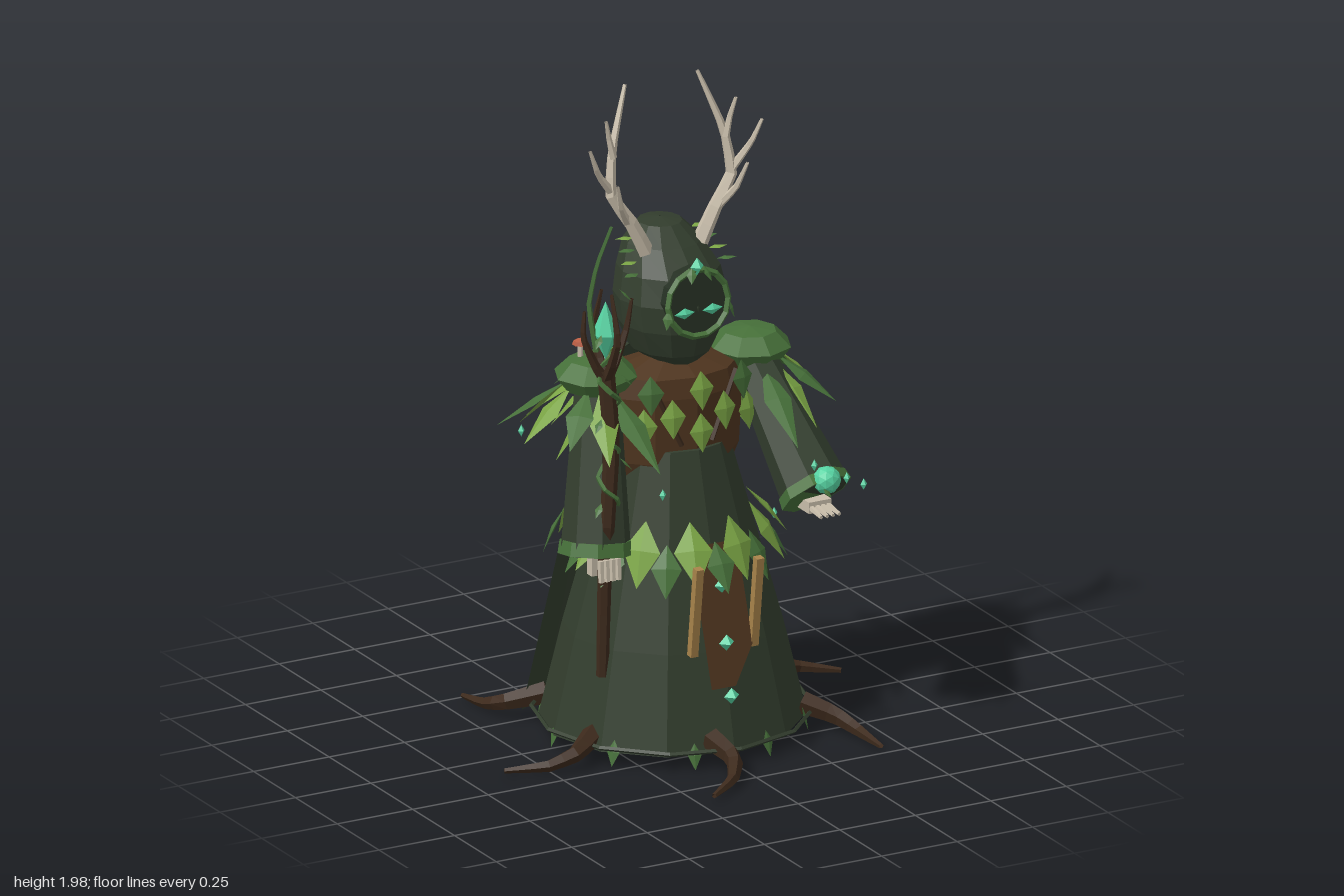
import * as THREE from 'three';

const mat = (name, color) => {
  const m = new THREE.MeshStandardMaterial({ color, flatShading: true, side: THREE.DoubleSide });
  m.name = name;
  return m;
};
const V = (p) => new THREE.Vector3(...p);

export function createModel() {
  const root = new THREE.Group();
  root.name = 'forestDruid';
  const cloth = mat('darkGreenCloth', 0x323d2d), leather = mat('brownLeather', 0x4f351f);
  const wood = mat('darkWood', 0x3d2a1c), moss = mat('moss', 0x47713a);
  const leafLight = mat('brightLeaf', 0x7ba545), bone = mat('bone', 0xc8bdaa);
  const emerald = mat('emerald', 0x56d3a2), red = mat('mushroomRed', 0xb95c42);
  const tan = mat('tanStrap', 0xa8834a), shadow = mat('hoodDark', 0x263023);

  const add = (name, geo, m, pos = [0, 0, 0], parent = root) => {
    const mesh = new THREE.Mesh(geo, m);
    mesh.name = name;
    mesh.position.set(...pos);
    parent.add(mesh);
    return mesh;
  };
  const lathe = (pts, seg, start = 0, len = Math.PI * 2) =>
    new THREE.LatheGeometry(pts.map((p) => new THREE.Vector2(...p)), seg, start, len);

  // Tapered, slightly angular tube through a few points
  const branch = (name, pts, r0, r1, m, sides = 5, steps = pts.length * 2) => {
    const curve = new THREE.CatmullRomCurve3(pts.map(V), false, 'catmullrom', 0.15);
    const geo = new THREE.TubeGeometry(curve, steps, 1, sides);
    const p = geo.attributes.position, v = new THREE.Vector3();
    for (let i = 0; i < p.count; i++) {
      const t = Math.floor(i / (sides + 1)) / steps, c = curve.getPointAt(t);
      v.fromBufferAttribute(p, i).sub(c).multiplyScalar(r0 + (r1 - r0) * t).add(c);
      p.setXYZ(i, v.x, v.y, v.z);
    }
    return add(name, geo, m);
  };
  // Straight cone section from a to b
  const limb = (name, a, b, r0, r1, m, sides = 8) => {
    const A = V(a), B = V(b), d = B.clone().sub(A);
    const mesh = add(name, new THREE.CylinderGeometry(r1, r0, d.length(), sides), m);
    mesh.position.copy(A).addScaledVector(d, 0.5);
    mesh.quaternion.setFromUnitVectors(new THREE.Vector3(0, 1, 0), d.normalize());
    return mesh;
  };
  // Folded diamond leaf hanging from its base, lifted outwards by pitch
  const leafGeo = new THREE.BufferGeometry();
  leafGeo.setAttribute('position', new THREE.Float32BufferAttribute(
    [0, 0, 0, -0.5, -0.45, 0, 0, -0.45, 0.12, 0.5, -0.45, 0, 0, -1, 0], 3));
  leafGeo.setIndex([0, 1, 2, 0, 2, 3, 1, 4, 2, 2, 4, 3]);
  leafGeo.computeVertexNormals();
  const leaf = (name, pos, yaw, pitch, len, wid, m) => {
    const l = add(name, leafGeo, m, pos);
    l.rotation.set(-pitch, yaw, 0, 'YXZ');
    l.scale.set(wid, len, wid);
  };
  const gem = (name, pos, r, h = r) => add(name, new THREE.OctahedronGeometry(1), emerald, pos).scale.set(r, h, r);

  // Robe with brown front lining, torso and front panel
  add('robe', lathe([[0.395, 0.06], [0.325, 0.35], [0.25, 0.62], [0.165, 0.92], [0.1, 0.93]], 12), cloth).scale.z = 0.94;
  add('robeLining', lathe([[0.378, 0.07], [0.308, 0.35], [0.235, 0.62]], 4, -Math.PI / 6, Math.PI / 3), leather).scale.z = 0.93;
  add('hemRing', new THREE.TorusGeometry(0.41, 0.007, 4, 12).rotateX(Math.PI / 2), cloth, [0, 0.08, 0]);
  add('torso', lathe([[0.17, 0.8], [0.205, 0.88], [0.215, 1.08], [0.2, 1.14], [0.08, 1.18]], 10), leather).scale.z = 0.7;
  const panel = new THREE.Shape([[-0.075, 0.66], [0.08, 0.66], [0.09, 0.36], [0.02, 0.25], [-0.06, 0.25]].map((p) => new THREE.Vector2(...p)));
  const panelGeo = new THREE.ShapeGeometry(panel);
  const pp = panelGeo.attributes.position;
  for (let i = 0; i < pp.count; i++) pp.setZ(i, 0.24 + (0.66 - pp.getY(i)) * 0.25);
  add('frontPanel', panelGeo, leather);
  for (const s of [-1, 1]) {
    limb('beltStrap', [s * 0.1, 0.35, 0.3], [s * 0.1, 0.63, 0.335], 0.017, 0.017, tan, 4).rotateY(Math.PI / 4);
    limb('chestSeam', [s * 0.05, 0.94, 0.145], [s * 0.14, 1.14, 0.125], 0.008, 0.008, wood, 4);
  }
  [[0.55, 0.295], [0.38, 0.322], [0.225, 0.352]].forEach(([y, z]) => gem('panelGem', [0, y, z], 0.025));

  // Folded cape
  const cape = lathe([[0.44, 0.05], [0.355, 0.45], [0.27, 0.85], [0.19, 1.15], [0.12, 1.2]], 8, Math.PI - 0.95, 1.9);
  const cp = cape.attributes.position;
  for (let i = 0; i < cp.count; i++) {
    const k = Math.floor(i / 5) % 2 ? 0.92 : 1;
    cp.setX(i, cp.getX(i) * k);
    cp.setZ(i, cp.getZ(i) * k);
  }
  add('cape', cape, cloth);

  // Hood from cross-sections: height, front z, back z, half width
  const sections = [
    [1.165, 0.09, -0.12, 0.07], [1.2, 0.125, -0.16, 0.12], [1.28, 0.152, -0.18, 0.156], [1.36, 0.153, -0.185, 0.166],
    [1.44, 0.13, -0.185, 0.15], [1.51, 0.055, -0.18, 0.115], [1.56, -0.01, -0.145, 0.065], [1.57, -0.075, -0.08, 0.002]];
  const hood = lathe(sections.map(([y]) => [1, y]), 12);
  const hp = hood.attributes.position;
  for (let i = 0; i < hp.count; i++) {
    const [, f, b, w] = sections[i % sections.length];
    hp.setX(i, hp.getX(i) * w);
    hp.setZ(i, (f + b) / 2 + hp.getZ(i) * (f - b) / 2);
  }
  add('hood', hood, cloth);
  const face = add('face', new THREE.CylinderGeometry(0.1, 0.1, 0.09, 12).rotateX(Math.PI / 2), shadow, [0, 1.375, 0.105]);
  const ring = add('faceVineRing', new THREE.TorusGeometry(0.1, 0.01, 4, 14), moss, [0, 1.375, 0.152]);
  face.rotation.x = ring.rotation.x = -0.1;
  gem('browGem', [0, 1.485, 0.145], 0.022, 0.028);
  for (const s of [-1, 1]) {
    const eye = add('eye', new THREE.OctahedronGeometry(1), emerald, [s * 0.046, 1.35, 0.155]);
    eye.scale.set(0.034, 0.017, 0.01);
    leaf('browLeaf', [s * 0.02, 1.485, 0.15], s * 0.5, 0.6, 0.05, 0.03, moss);
    leaf('ringLeaf', [s * 0.1, 1.37, 0.155], s * 0.8, 0.3, 0.06, 0.03, moss);
    for (let i = 0; i < 4; i++)
      leaf('hoodLeaf', [s * (0.13 - i * 0.012), 1.45 + i * 0.025, 0.03 - i * 0.03], s * (1.3 + i * 0.15), 1.6, 0.06, 0.035, i % 2 ? leafLight : moss);
  }

  // Antlers
  for (const s of [-1, 1]) {
    const a = (pts, r0, r1) => branch('antler', pts.map(([x, y, z]) => [s * x, y, z]), r0, r1, bone);
    a([[0.09, 1.5, 0], [0.135, 1.59, 0], [0.2, 1.69, -0.01], [0.185, 1.82, -0.03], [0.12, 2.0, -0.07]], 0.026, 0.006);
    a([[0.198, 1.7, -0.01], [0.245, 1.76, 0], [0.26, 1.79, 0.01], [0.285, 1.85, 0.02]], 0.014, 0.005);
    a([[0.186, 1.8, -0.02], [0.2, 1.86, -0.02], [0.215, 1.92, -0.01]], 0.012, 0.005);
    a([[0.15, 1.6, 0], [0.19, 1.66, 0.035], [0.215, 1.74, 0.06]], 0.014, 0.005);
  }

  // Moss pauldrons with leaves radiating from beneath: yaw, length
  for (const s of [-1, 1]) {
    add('pauldron', lathe([[0, 1.09], [0.09, 1.11], [0.125, 1.155], [0.08, 1.2], [0, 1.21]], 8), moss, [s * 0.255, 0, 0]);
    [[-0.08, 0.32], [0.35, 0.25], [0.8, 0.22], [1.57, 0.22], [2.2, 0.26], [2.7, 0.27]].forEach(([yaw, len], i) =>
      leaf('pauldronLeaf', [s * (0.255 + Math.sin(yaw) * 0.08), 1.13, Math.cos(yaw) * 0.08], s * yaw, i % 2 ? 0.8 : 0.95, len, 0.085, i % 2 ? leafLight : moss));
  }

  // Sleeves, cuffs and hands
  const arm = (from, to, cuffA) => {
    limb('sleeve', from, to, 0.065, 0.105, cloth);
    limb('cuff', cuffA, to, 0.106, 0.111, moss);
  };
  arm([-0.25, 1.14, 0], [-0.305, 0.635, 0.09], [-0.3, 0.675, 0.083]);
  arm([0.25, 1.13, 0.01], [0.3, 0.785, 0.32], [0.296, 0.81, 0.297]);
  for (let i = 0; i < 4; i++) {
    limb('rightFinger', [-0.33 + i * 0.019, 0.64, 0.165], [-0.33 + i * 0.019, 0.575, 0.17], 0.01, 0.009, bone, 5);
    limb('leftFinger', [0.27 + i * 0.018, 0.755, 0.33], [0.268 + i * 0.02, 0.745, 0.405], 0.01, 0.006, bone, 5);
  }
  add('leftPalm', new THREE.BoxGeometry(0.075, 0.035, 0.07), bone, [0.298, 0.755, 0.31]);
  add('rightPalm', new THREE.BoxGeometry(0.07, 0.07, 0.03), bone, [-0.302, 0.615, 0.11]);
  add('magicOrb', new THREE.IcosahedronGeometry(0.042, 1), emerald, [0.297, 0.85, 0.385]);

  // Staff with claw, crystal and vine
  branch('staff', [[-0.305, 0.27, 0.13], [-0.3, 0.6, 0.135], [-0.305, 0.75, 0.16], [-0.285, 1.0, 0.15], [-0.3, 1.22, 0.14]], 0.018, 0.026, wood, 6);
  [[-0.375, 1.33, 0.14, -0.37, 1.41], [-0.225, 1.33, 0.13, -0.21, 1.42], [-0.3, 1.33, 0.215, -0.305, 1.465], [-0.3, 1.33, 0.07, -0.29, 1.45]]
    .forEach(([x, y, z, tx, ty]) => branch('staffClaw', [[-0.3, 1.18, 0.14], [(x - 0.3) / 2, 1.24, (z + 0.14) / 2], [x, y, z], [tx, ty, 0.14 + (z - 0.14) * 0.6]], 0.018, 0.005, wood));
  add('staffCrystal', lathe([[0, 1.25], [0.04, 1.33], [0, 1.43]], 6), emerald, [-0.3, 0, 0.14]);
  const vine = [];
  for (let i = 0; i <= 16; i++)
    vine.push([-0.297 + Math.cos(i * 1.2) * 0.032, 0.8 + i * 0.03, 0.153 + Math.sin(i * 1.2) * 0.032]);
  branch('staffVine', vine, 0.007, 0.008, moss, 4, 48);
  branch('vineTendril', [[-0.33, 1.28, 0.14], [-0.35, 1.42, 0.13], [-0.335, 1.55, 0.15], [-0.3, 1.67, 0.175]], 0.01, 0.006, moss, 4);
  for (let i = 0; i < 6; i++)
    leaf('vineLeaf', [-0.3 + (i % 2 ? 0.03 : -0.03), 0.82 + i * 0.13, 0.17], i % 2 ? 1 : -1, 0.8, 0.05, 0.025, moss);

  // Shoulder mushrooms
  [[-0.29, 1.24, -0.03, 0.024], [-0.21, 1.235, -0.03, 0.022], [-0.24, 1.28, 0.03, 0.036]].forEach(([x, y, z, r]) => {
    limb('mushroomStem', [x, 1.18, z], [x, y, z], 0.01, 0.008, bone, 5);
    add('mushroomCap', lathe([[0, 0], [r, 0], [r * 0.8, r * 0.5], [0, r * 0.85]], 6), red, [x, y, z]);
  });

  // Leaf mantle over the back
  for (let row = 0; row < 3; row++)
    for (let i = 0; i < 6 - (row % 2); i++) {
      const t = Math.PI + (i - (5 - (row % 2)) / 2) * 0.46, r = 0.19 + row * 0.02;
      leaf('mantleLeaf', [Math.sin(t) * (r + 0.03), 1.16 - row * 0.075, Math.cos(t) * r], t, 0.9 - row * 0.2,
        0.21 - row * 0.015, 0.085, (i + row) % 5 === 4 ? moss : leafLight);
    }
  // Chest leaves
  [[0, 1.17], [0, 1.04], [0.085, 1.09], [0.15, 1.17], [0.17, 1.07]].forEach(([x, y], i) => {
    for (const s of x ? [-1, 1] : [1])
      leaf('chestLeaf', [s * x, y, 0.168 - x * 0.2], s * x * 2, 0.1, 0.12, 0.08, i === 3 ? moss : leafLight);
  });

  // Waist leaves in two staggered rows
  for (let row = 0; row < 2; row++)
    for (let i = 0; i < 11; i++) {
      const t = ((i + 0.5 + row * 0.5) / 11) * Math.PI * 2, r = row ? 0.25 : 0.225;
      const back = Math.cos(t) < -0.5 ? 0.07 : 0;
      leaf('waistLeaf', [Math.sin(t) * (r + back), 0.73 - row * 0.06, Math.cos(t) * (r + back)], t,
        0.42 + (i % 3) * 0.14, row ? 0.16 : 0.2, row ? 0.09 : 0.115, row ? moss : leafLight);
    }
  // Hem leaves
  for (let i = 0; i < 10; i++) {
    const t = (i / 10) * Math.PI * 2 + 0.3;
    leaf('hemLeaf', [Math.sin(t) * 0.38, 0.1, Math.cos(t) * 0.37], t, 0.25, 0.08, 0.04, moss);
  }
  leaf('hemLeafLarge', [0.34, 0.17, -0.26], 1.9, 0.1, 0.15, 0.1, leafLight);

  // Roots creeping out from under the hem
  [
    [[0.07, -0.34], [0.04, -0.44], [0.09, -0.54], [0.2, -0.61]],
    [[-0.29, -0.23], [-0.4, -0.29], [-0.42, -0.37], [-0.43, -0.48]],
    [[0.33, -0.16], [0.42, -0.19], [0.53, -0.19], [0.63, -0.13]],
    [[-0.32, 0.12], [-0.42, 0.185], [-0.51, 0.18], [-0.63, 0.13]],
    [[-0.06, 0.34], [-0.04, 0.44], [-0.1, 0.54], [-0.2, 0.61]],
    [[0.32, 0.2], [0.39, 0.27], [0.42, 0.34], [0.425, 0.48]],
  ].forEach((pts) => branch('root', pts.map(([x, z], i) => [x, [0.1, 0.07, 0.045, 0.035][i], z]), 0.035, 0.008, wood));

  // Drifting sparks
  [[0.43, 0.545, -0.17], [0.22, 0.93, 0.45], [0.33, 0.87, 0.445], [0.4, 0.83, 0.42], [-0.285, 0.93, 0.455], [-0.33, 0.89, -0.31], [0.08, 0.76, -0.42]]
    .forEach((p) => gem('spark', p, 0.011, 0.018));
  leaf('driftingLeaf', [0.24, 0.86, 0.47], 0.5, 0.9, 0.035, 0.025, moss);
  return root;
}
